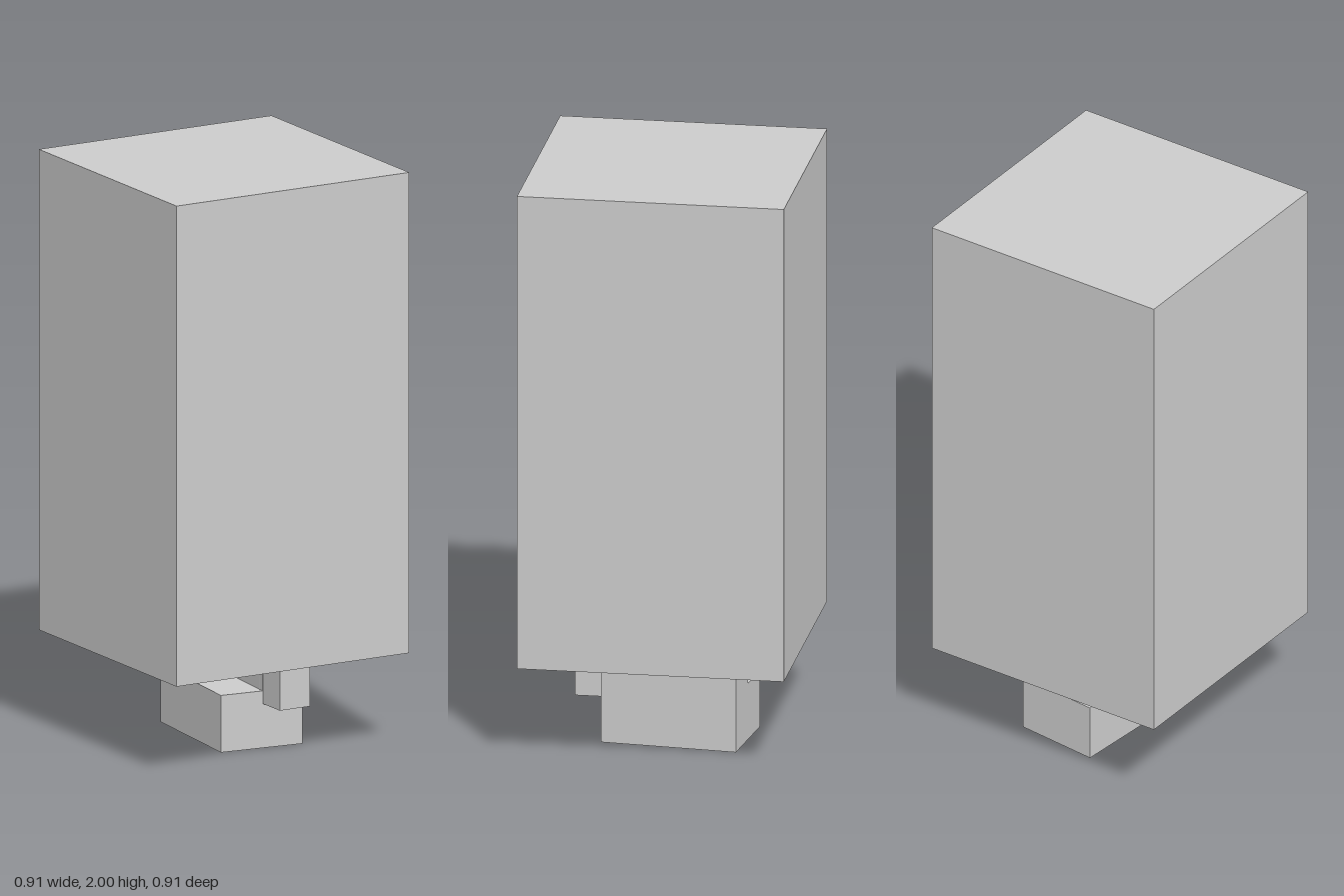
import * as THREE from 'three';

const material = new THREE.MeshStandardMaterial({ color: 0xcccccc, flatShading: true });

// Axis-aligned box given by its [min, max] range on each axis
function box(name, [x0, x1], [y0, y1], [z0, z1]) {
  const geometry = new THREE.BoxGeometry(x1 - x0, y1 - y0, z1 - z0);
  geometry.translate((x0 + x1) / 2, (y0 + y1) / 2, (z0 + z1) / 2);
  const mesh = new THREE.Mesh(geometry, material);
  mesh.name = name;
  return mesh;
}

// Stepped foot: an L profile extruded front to back, turned slightly
function steppedFoot(width, stepWidth, stepHeight, height, depth) {
  const profile = new THREE.Shape([
    [0, 0], [0, height], [-stepWidth, height],
    [-stepWidth, stepHeight], [-width, stepHeight], [-width, 0],
  ].map(([x, y]) => new THREE.Vector2(x, y)));
  const geometry = new THREE.ExtrudeGeometry(profile, { depth, bevelEnabled: false });
  geometry.translate(0, 0, -depth);
  // Skew about the front corner, then place that corner
  geometry.applyMatrix4(new THREE.Matrix4().set(
    1, 0, -0.086, 0.182,
    0, 1, 0, 0,
    0.114, 0, 1, 0.212,
    0, 0, 0, 1,
  ));
  geometry.computeVertexNormals();
  const mesh = new THREE.Mesh(geometry, material);
  mesh.name = 'steppedFoot';
  return mesh;
}

export function createModel() {
  const model = new THREE.Group();
  model.name = 'blockOnFoot';
  model.add(
    box('mainBlock', [-0.455, 0.455], [0.332, 2], [-0.455, 0.455]),
    steppedFoot(0.299, 0.147, 0.198, 0.332, 0.466),
    // Small lug that projects from the front of the foot
    box('frontLug', [0.037, 0.156], [0.153, 0.332], [0.17, 0.306]),
  );
  return model;
}
